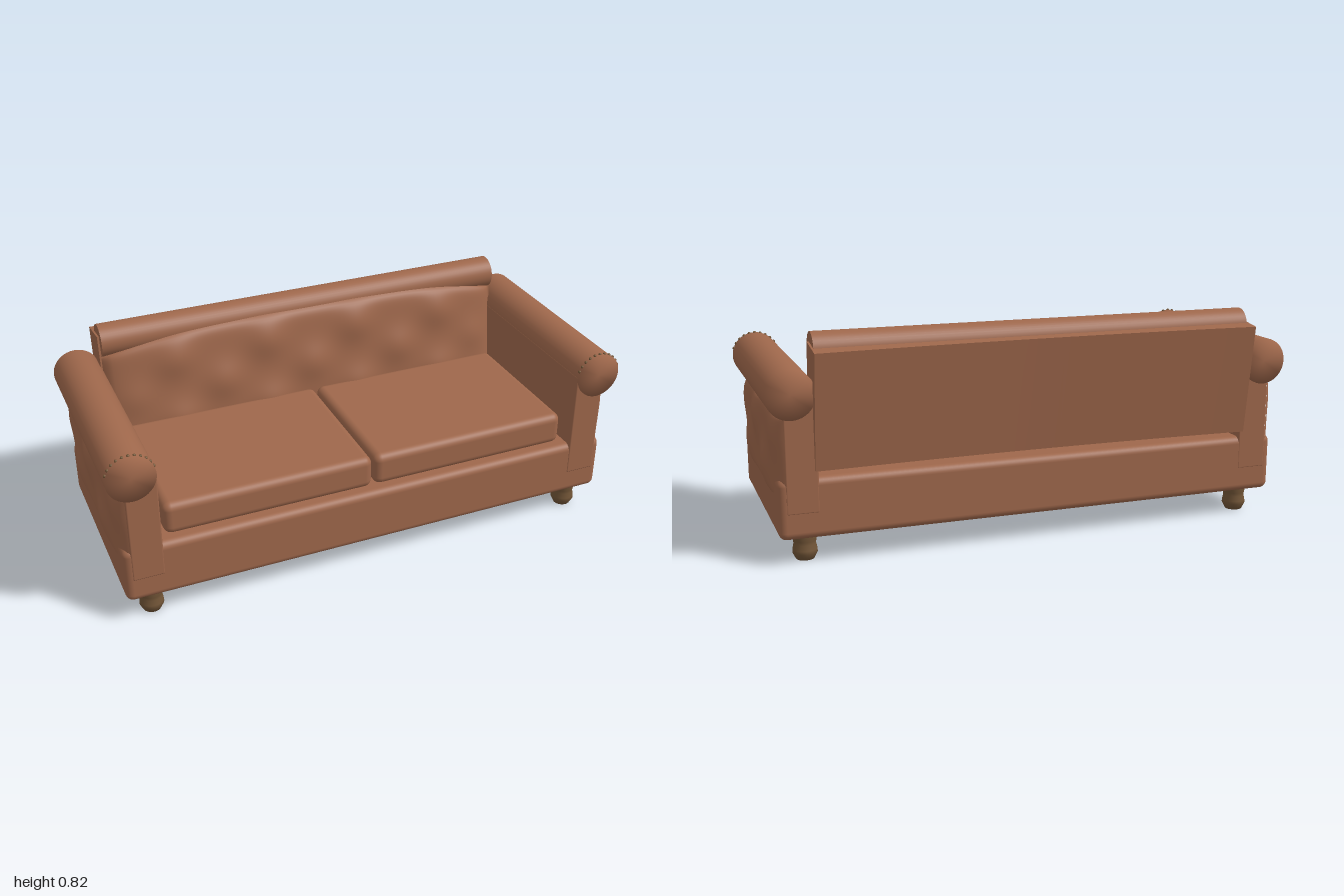
import * as THREE from 'three';
import { RoundedBoxGeometry } from 'three/addons/geometries/RoundedBoxGeometry.js';

const leather = new THREE.MeshStandardMaterial({ color: 0x9e674b });
leather.name = 'tan leather';
const wood = new THREE.MeshStandardMaterial({ color: 0x725537 });
wood.name = 'brown wood';

function add(parent, name, geometry, material, x = 0, y = 0, z = 0) {
  const mesh = new THREE.Mesh(geometry, material);
  mesh.name = name;
  mesh.position.set(x, y, z);
  parent.add(mesh);
  return mesh;
}

// Rounded box given by its extents on each axis
function block(parent, name, [x0, x1], [y0, y1], [z0, z1], radius) {
  const geometry = new RoundedBoxGeometry(x1 - x0, y1 - y0, z1 - z0, 4, radius);
  return add(parent, name, geometry, leather, (x0 + x1) / 2, (y0 + y1) / 2, (z0 + z1) / 2);
}

const lathe = (profile, sides) =>
  new THREE.LatheGeometry(profile.map(([r, y]) => new THREE.Vector2(r, y)), sides);

// Domed upholstery panel facing +z, with soft bumps and an upper edge that drops at the ends
function tuftedPanel(width, height, rim, dome, drop, bumps, bumpHeight, spread) {
  const geometry = new THREE.PlaneGeometry(width, height, 96, 48);
  const p = geometry.attributes.position;
  for (let i = 0; i < p.count; i++) {
    const x = p.getX(i), y = p.getY(i);
    const u = Math.abs(x) / (width / 2), v = Math.abs(y) / (height / 2);
    const edge = Math.sqrt(Math.max(0, (1 - u ** 24) * (1 - v ** 16)));
    const swell = (1 - u ** 6) * (1 - v ** 10);
    let z = rim * edge + dome * swell;
    for (const [bx, by] of bumps) {
      const d2 = (x - bx) ** 2 + (y - by) ** 2;
      z += bumpHeight * Math.exp(-d2 / (spread * spread)) * swell;
    }
    p.setXYZ(i, x, y - drop * u ** 4 * (y / height + 0.5), z);
  }
  geometry.computeVertexNormals();
  return geometry;
}

function buildArm(side) {
  const arm = new THREE.Group();
  arm.name = side > 0 ? 'leftArm' : 'rightArm';
  const xs = side > 0 ? [0.822, 0.938] : [-0.938, -0.822];
  block(arm, 'armPanel', xs, [0.19, 0.62], [-0.371, 0.43], 0.006);

  // Rolled top with softly shaded ends
  const roll = add(arm, 'armRoll',
    lathe([[0, -0.4085], [0.088, -0.4085], [0.088, 0.4085], [0, 0.4085]], 40),
    leather, side * 0.911, 0.614, 0.0285);
  roll.rotation.x = Math.PI / 2;

  // Outer tufted side
  const bumps = [[-0.18, -0.055], [0.18, -0.055], [0, 0.085], [-0.36, 0.085], [0.36, 0.085]];
  const puff = add(arm, 'armSidePuff',
    tuftedPanel(0.795, 0.34, 0.012, 0.024, 0.025, bumps, 0.017, 0.08),
    leather, side * 0.936, 0.39, 0.027);
  puff.rotation.y = side * Math.PI / 2;

  // Stud row over the front rim of the roll
  const bead = new THREE.SphereGeometry(0.006, 10, 8);
  for (let i = 0; i <= 10; i++) {
    const a = THREE.MathUtils.degToRad(20 + i * 14);
    add(arm, 'stud', bead, wood, side * 0.911 + Math.cos(a) * 0.088, 0.614 + Math.sin(a) * 0.088, 0.428);
  }
  return arm;
}

function buildBack() {
  const back = new THREE.Group();
  back.name = 'backrest';

  // Leaning frame, slightly hollowed at the rear
  const lean = new THREE.Group();
  lean.name = 'leaningBack';
  lean.position.set(0, 0.56, -0.339);
  lean.rotation.x = -0.138;
  back.add(lean);
  const slab = new THREE.BoxGeometry(1.67, 0.424, 0.137, 24, 1, 1);
  const p = slab.attributes.position;
  for (let i = 0; i < p.count; i++) {
    if (p.getZ(i) < 0) p.setZ(i, p.getZ(i) + 0.016 * (1 - (p.getX(i) / 0.835) ** 2));
  }
  slab.computeVertexNormals();
  add(lean, 'backFrame', slab, leather);

  // Tufted front with staggered rows of bumps
  const bumps = [];
  for (let i = -2; i <= 2; i++) bumps.push([i * 0.375, -0.025]);
  for (let i = -1.5; i <= 1.5; i++) bumps.push([i * 0.375, 0.105], [i * 0.375, -0.155]);
  add(lean, 'backPuff', tuftedPanel(1.66, 0.43, 0.03, 0.03, 0.075, bumps, 0.02, 0.078),
    leather, 0, -0.005, 0.067);

  // Rolled top rail
  const rail = add(back, 'backRoll', new THREE.CylinderGeometry(0.063, 0.063, 1.655, 40),
    leather, 0, 0.755, -0.32);
  rail.rotation.z = Math.PI / 2;
  return back;
}

export function createModel() {
  const sofa = new THREE.Group();
  sofa.name = 'sofa';

  block(sofa, 'base', [-0.965, 0.965], [0.096, 0.317], [-0.37, 0.428], 0.028);

  for (const side of [-1, 1]) {
    const xs = side > 0 ? [0.004, 0.8] : [-0.8, -0.004];
    block(sofa, side > 0 ? 'leftCushion' : 'rightCushion', xs, [0.312, 0.44], [-0.205, 0.386], 0.03);
    sofa.add(buildArm(side));
  }
  sofa.add(buildBack());

  // Turned legs
  const leg = lathe([[0, 0], [0.033, 0], [0.045, 0.024], [0.044, 0.036], [0.04, 0.056],
    [0.041, 0.068], [0.045, 0.088], [0.045, 0.11], [0, 0.11]], 24);
  for (const x of [-0.865, 0.865]) {
    add(sofa, 'frontLeg', leg, wood, x, 0, 0.355);
    add(sofa, 'backLeg', leg, wood, x, 0, -0.277);
  }
  return sofa;
}
